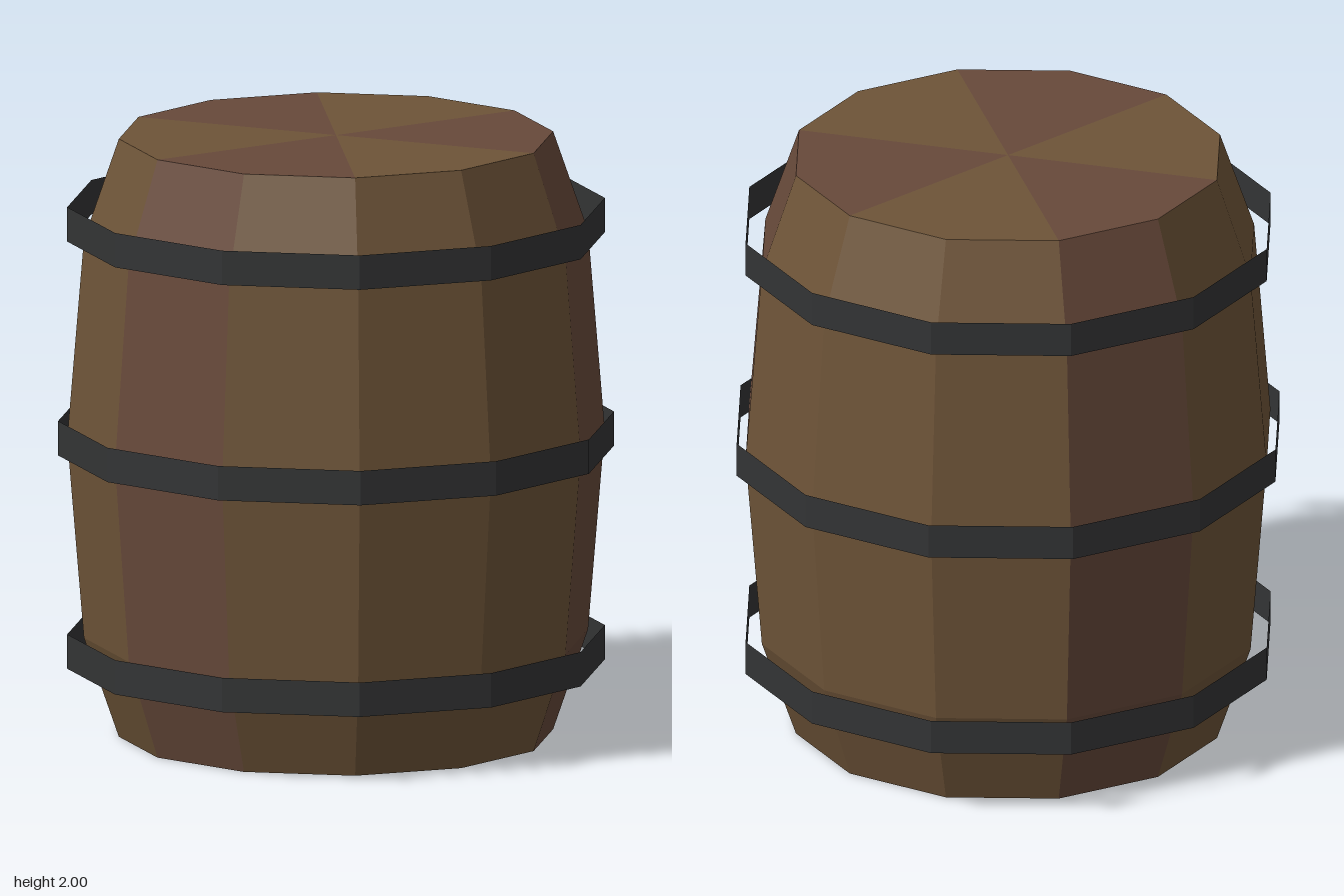
import * as THREE from 'three';

const SIDES = 12;
const STEP = (Math.PI * 2) / SIDES;

const wood = (color) => new THREE.MeshStandardMaterial({ color, flatShading: true });
const brown = wood(0x6e5438);
const russet = wood(0x67493a);
const iron = new THREE.MeshStandardMaterial({ color: 0x333435, flatShading: true, side: THREE.DoubleSide });

const points = (list) => list.map(([r, y]) => new THREE.Vector2(r, y));

// Bulging stave outline from foot to rim, and the two flat ends
const staveProfile = points([[0.715, 0], [0.83, 0.333], [0.885, 1], [0.83, 1.667], [0.715, 2]]);
const bottomProfile = points([[0, 0], [0.715, 0]]);
const topProfile = points([[0.715, 2], [0, 2]]);

// A slice of a turned shape: `count` facets starting at facet `first`
function slice(name, profile, first, count, material) {
  const mesh = new THREE.Mesh(new THREE.LatheGeometry(profile, count, first * STEP, count * STEP), material);
  mesh.name = name;
  return mesh;
}

export function createModel() {
  const barrel = new THREE.Group();
  barrel.name = 'barrel';

  // Staves, a few of them redder
  const staves = new THREE.Group();
  staves.name = 'staves';
  const redStaves = [3, 7, 11];
  for (let i = 0; i < SIDES; i++) {
    staves.add(slice('stave', staveProfile, i, 1, redStaves.includes(i) ? russet : brown));
  }

  // Heads: six wedges of alternating wood tone at each end
  const heads = new THREE.Group();
  heads.name = 'heads';
  for (let i = 0; i < 6; i++) {
    const material = i % 2 ? brown : russet;
    heads.add(slice('topWedge', topProfile, i * 2 - 1, 2, material));
    heads.add(slice('bottomWedge', bottomProfile, i * 2 - 1, 2, material));
  }

  // Thin straight hoops standing slightly off the staves
  const hoops = new THREE.Group();
  hoops.name = 'hoops';
  for (const [name, radius, y] of [['lowerHoop', 0.885, 0.288], ['middleHoop', 0.915, 1.002], ['upperHoop', 0.885, 1.717]]) {
    const hoop = new THREE.Mesh(new THREE.CylinderGeometry(radius, radius, 0.115, SIDES, 1, true), iron);
    hoop.name = name;
    hoop.position.y = y;
    hoops.add(hoop);
  }

  barrel.add(staves, heads, hoops);
  return barrel;
}
